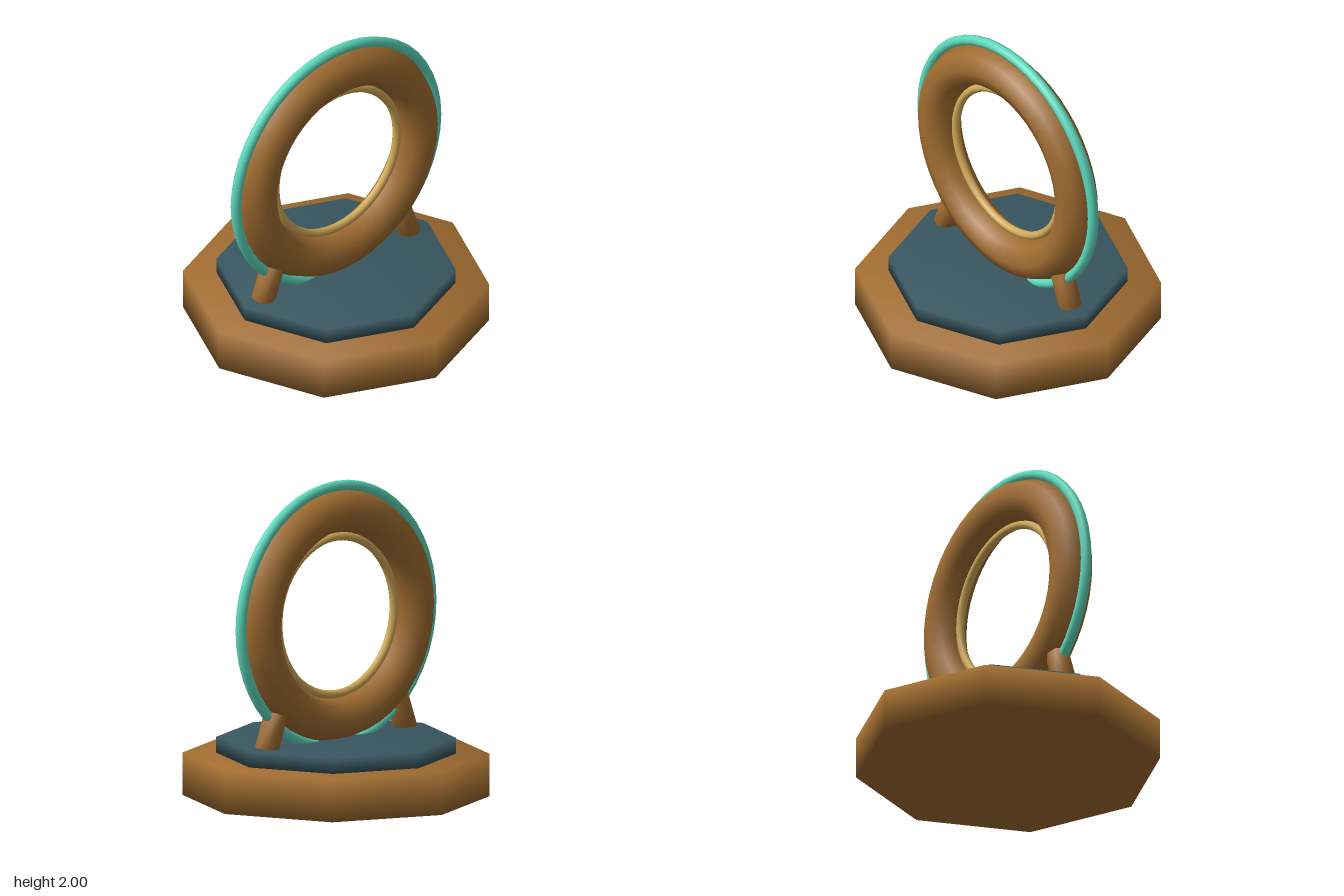
import * as THREE from 'three';
import { mergeVertices } from 'three/addons/utils/BufferGeometryUtils.js';

const material = (name, color) => {
  const m = new THREE.MeshStandardMaterial({ color });
  m.name = name;
  return m;
};

// Eight-sided cylinder with normals blended across its edges
function softOctagon(radius, height) {
  const g = new THREE.CylinderGeometry(radius, radius, height, 8);
  g.deleteAttribute('normal');
  g.deleteAttribute('uv');
  const merged = mergeVertices(g);
  merged.computeVertexNormals();
  return merged;
}

export function createModel() {
  const group = new THREE.Group();
  const bronze = material('bronze', 0xa06c30);
  const slate = material('slate', 0x38565f);
  const teal = material('teal', 0x5cdabd);
  const gold = material('gold', 0xd2aa58);

  const add = (name, geometry, mat, x, y) => {
    const mesh = new THREE.Mesh(geometry, mat);
    mesh.name = name;
    mesh.position.set(x, y, 0);
    group.add(mesh);
    return mesh;
  };

  // Stepped octagonal pedestal
  add('base', softOctagon(0.96, 0.27), bronze, 0, 0.135);
  add('platform', softOctagon(0.75, 0.1), slate, 0, 0.32);

  // Three concentric upright rings
  const ringY = 1.145;
  add('mainRing', new THREE.TorusGeometry(0.66, 0.135, 8, 48), bronze, 0, ringY);
  add('outerRing', new THREE.TorusGeometry(0.821, 0.034, 8, 48), teal, 0, ringY);
  add('innerRing', new THREE.TorusGeometry(0.5, 0.027, 8, 48), gold, 0, ringY);

  // Leaning supports on both sides
  for (const side of [-1, 1]) {
    const support = add(side > 0 ? 'leftSupport' : 'rightSupport',
      softOctagon(0.075, 0.235), bronze, side * 0.56, 0.47);
    support.rotation.z = side * 0.35;
  }
  return group;
}
